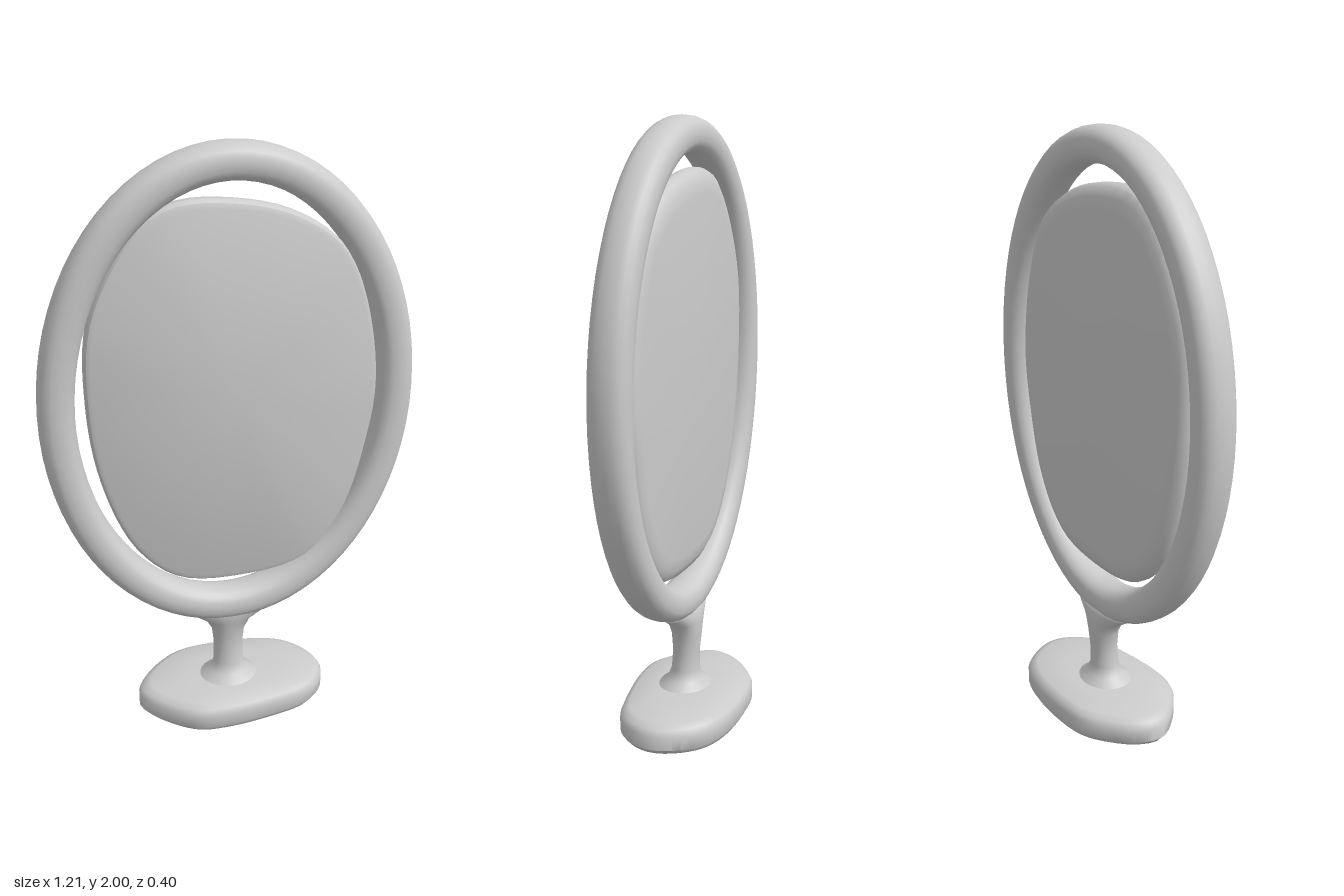
import * as THREE from 'three';
import { toCreasedNormals } from 'three/addons/utils/BufferGeometryUtils.js';

const { cos, sin, abs, sign, PI } = Math;

// Skin a list of cross-section loops; closed joins the last loop to the first.
function loft(loops, closed = false) {
  const n = loops[0].length, m = loops.length, index = [];
  for (let i = 0; i < (closed ? m : m - 1); i++) {
    const k = (i + 1) % m;
    for (let j = 0; j < n; j++) {
      const l = (j + 1) % n;
      index.push(i * n + j, i * n + l, k * n + l, i * n + j, k * n + l, k * n + j);
    }
  }
  const geometry = new THREE.BufferGeometry();
  geometry.setAttribute('position', new THREE.Float32BufferAttribute(loops.flat(2), 3));
  geometry.setIndex(index);
  geometry.computeVertexNormals();
  return geometry;
}

// Smooth closed outline through a few points.
function outline(points, count) {
  const curve = new THREE.CatmullRomCurve3(
    points.map(([a, b]) => new THREE.Vector3(a, b, 0)), true, 'centripetal');
  return curve.getSpacedPoints(count).slice(0, count).map(p => [p.x, p.y]);
}

const steps = (n, fn) => Array.from({ length: n }, (_, i) => fn(i / n * 2 * PI));
const soft = (v, power) => sign(v) * abs(v) ** power;

export function createModel() {
  const group = new THREE.Group();
  const grey = new THREE.MeshStandardMaterial({ color: 0xcccccc });
  grey.name = 'pale grey';
  const add = (name, geometry) => {
    const mesh = new THREE.Mesh(geometry, grey);
    mesh.name = name;
    group.add(mesh);
  };

  // Oval frame with a slightly squared tube section
  const ring = steps(72, p => {
    const normal = new THREE.Vector2(cos(p) / 0.547, sin(p) / 0.755).normalize();
    return steps(20, t => {
      const r = 0.058 * soft(cos(t), 0.85);
      return [0.547 * cos(p) + normal.x * r, 1.188 + 0.755 * sin(p) + normal.y * r,
        0.02 - 0.065 * soft(sin(t), 0.85)];
    });
  });
  add('frame', loft(ring, true));

  // Uneven oval glass with a soft bevel, flat on both faces
  const glass = outline([[0.483, 1.21], [0.435, 1.5], [0.355, 1.67], [0.2, 1.78], [0.01, 1.83],
    [-0.175, 1.83], [-0.28, 1.77], [-0.435, 1.5], [-0.456, 1.21], [-0.414, 0.92], [-0.31, 0.68],
    [-0.175, 0.56], [0.01, 0.533], [0.25, 0.575], [0.38, 0.73], [0.46, 1.0]], 80);
  const glassLoops = [[0, -0.025], [0.88, -0.025], [0.94, -0.02], [0.985, -0.004], [1, 0.015],
    [1, 0.035], [0.985, 0.049], [0.96, 0.055], [0, 0.055]].map(([s, z]) =>
    glass.map(([x, y]) => [0.01 + (x - 0.01) * s, 1.19 + (y - 1.19) * s, z]));
  add('mirrorGlass', toCreasedNormals(loft(glassLoops), 0.6));

  // Flared stem between base and frame: [y, half width, half depth, z]
  const stem = [[0.09, 0.13, 0.11, 0.01], [0.125, 0.1, 0.085, 0.01], [0.145, 0.065, 0.058, 0.01],
    [0.18, 0.052, 0.047, 0.008], [0.25, 0.05, 0.045, 0.005], [0.31, 0.057, 0.05, 0.004],
    [0.355, 0.08, 0.056, 0.008], [0.39, 0.135, 0.058, 0.014], [0.42, 0.19, 0.05, 0.02],
    [0.43, 0, 0, 0.02]].map(([y, w, d, z]) =>
    steps(24, a => [w * cos(a), y, z - d * sin(a)]));
  add('stem', loft(stem));

  // Oval foot with rounded rim and a shallow top slope
  const foot = outline([[0.34, 0.01], [0.325, -0.06], [0.26, -0.145], [0.17, -0.185], [0, -0.2],
    [-0.15, -0.18], [-0.24, -0.12], [-0.3, -0.05], [-0.32, 0.02], [-0.28, 0.09], [-0.16, 0.185],
    [-0.06, 0.198], [0.1, 0.18], [0.25, 0.14], [0.315, 0.08]], 60);
  const footLoops = [[0, 0], [0.55, 0.003], [0.86, 0.013], [0.95, 0.022], [1, 0.04], [1, 0.085],
    [0.96, 0.105], [0.87, 0.117], [0.5, 0.122], [0, 0.13]].map(([s, y]) =>
    foot.map(([x, z]) => [0.01 + (x - 0.01) * s, y, z * s]));
  add('base', toCreasedNormals(loft(footLoops), 0.7));

  return group;
}
